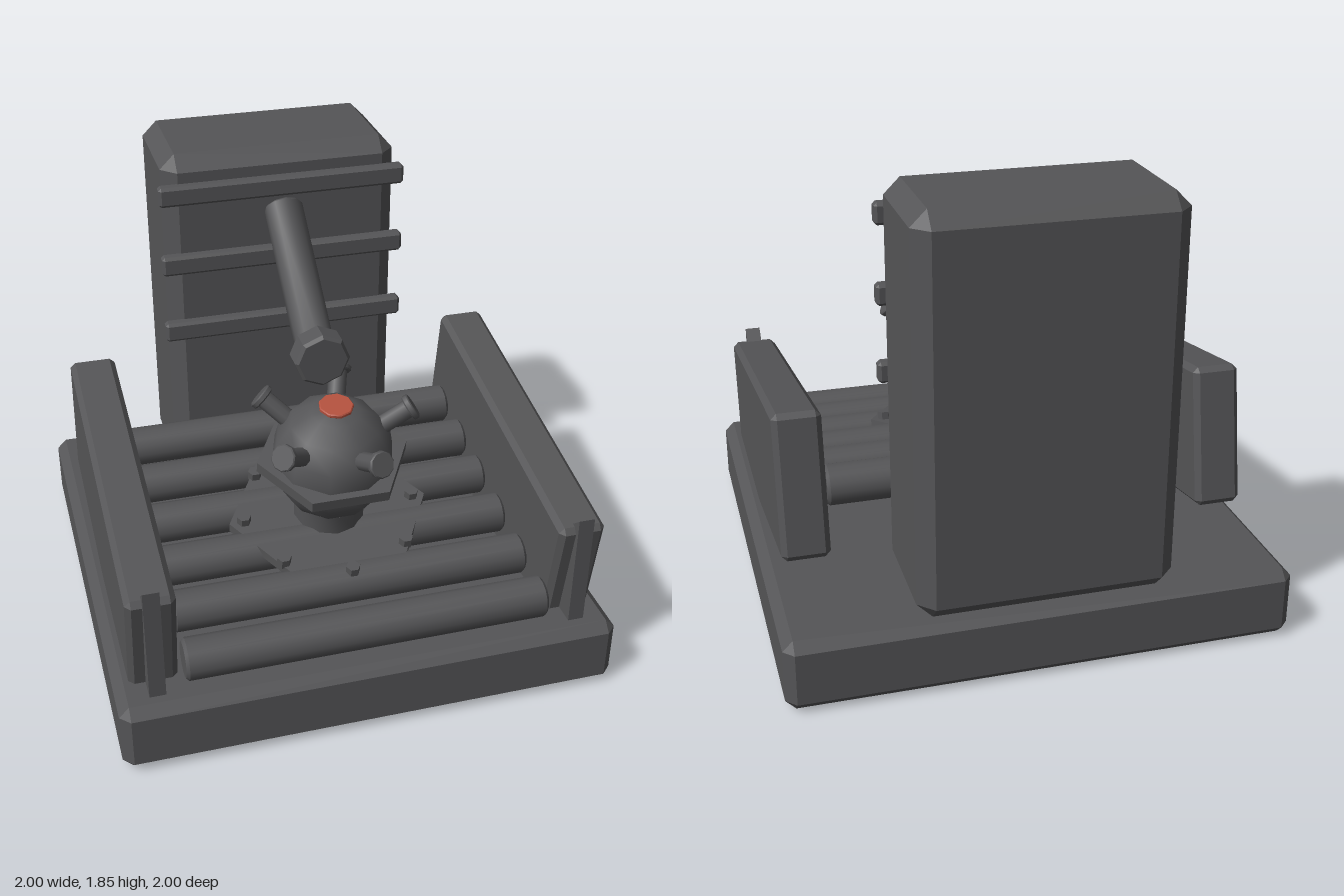
import * as THREE from 'three';
import { toCreasedNormals } from 'three/addons/utils/BufferGeometryUtils.js';
import { ConvexGeometry } from 'three/addons/geometries/ConvexGeometry.js';

const darkGrey = new THREE.MeshStandardMaterial({ color: 0x555557 });
const red = new THREE.MeshStandardMaterial({ color: 0xb5523f });

function add(parent, name, geometry, x = 0, y = 0, z = 0, material = darkGrey) {
  const mesh = new THREE.Mesh(geometry, material);
  mesh.name = name;
  mesh.position.set(x, y, z);
  parent.add(mesh);
  return mesh;
}

// Box with every edge cut at 45 degrees
function chamferBox(w, h, d, c) {
  const points = [];
  for (const sx of [-1, 1]) for (const sy of [-1, 1]) for (const sz of [-1, 1]) {
    for (let axis = 0; axis < 3; axis++) {
      const cut = [c, c, c];
      cut[axis] = 0;
      points.push(new THREE.Vector3(sx * (w / 2 - cut[0]), sy * (h / 2 - cut[1]), sz * (d / 2 - cut[2])));
    }
  }
  return new ConvexGeometry(points);
}

// Drum along y with chamfered rims
function drum(r, length, sides, c) {
  const l = length / 2;
  const profile = [[0, -l], [r - c, -l], [r, -l + c], [r, l - c], [r - c, l], [0, l]];
  const geometry = new THREE.LatheGeometry(profile.map(p => new THREE.Vector2(...p)), sides);
  return toCreasedNormals(geometry, sides > 8 ? 0.7 : 0.3);
}

export function createModel() {
  const model = new THREE.Group();
  model.name = 'rollerMachine';

  // Base slab and rear column with three ribs
  add(model, 'base', chamferBox(2, 0.29, 2, 0.04), 0, 0.145, 0);
  add(model, 'rearColumn', chamferBox(1, 1.56, 0.54, 0.062), 0, 1.07, -0.73);
  for (const y of [1.08, 1.39, 1.7]) {
    add(model, 'columnRib', chamferBox(1.05, 0.085, 0.055, 0.012), 0, y, -0.448);
  }

  // Tilted side walls, each with a wedge post at the front
  const postShape = new THREE.Shape([[0.925, 0.28], [0.925, 0.773], [0.87, 0.725], [0.78, 0.28]]
    .map(p => new THREE.Vector2(-p[0], p[1])));
  for (const side of [-1, 1]) {
    const wall = add(model, 'sideWall', chamferBox(0.19, 0.58, 1.435, 0.022), side * 0.845, 0.56, 0.155);
    wall.rotation.x = THREE.MathUtils.degToRad(10);
    const post = new THREE.ExtrudeGeometry(postShape, { depth: 0.064, bevelEnabled: false });
    post.translate(0, 0, -0.032);
    post.rotateY(Math.PI / 2);
    add(model, 'wallPost', post, side * 0.845, 0, 0);
  }

  // Sloping row of rollers
  const roller = drum(0.083, 1.46, 14, 0.012);
  roller.rotateZ(Math.PI / 2);
  for (let i = 0; i < 6; i++) {
    add(model, 'roller', roller, 0, 0.37 + 0.0423 * i, 0.84 - 0.239 * i);
  }

  // Turret, tilted forward to stand square on the rollers
  const turret = new THREE.Group();
  turret.name = 'turret';
  turret.position.set(0, 0.545, 0.275);
  turret.rotation.x = THREE.MathUtils.degToRad(10);
  model.add(turret);

  const hexagon = (r, h) => new THREE.CylinderGeometry(r, r, h, 6, 1).rotateY(Math.PI / 6).toNonIndexed();
  const flat = geometry => { geometry.computeVertexNormals(); return geometry; };
  add(turret, 'mountPlate', flat(hexagon(0.42, 0.04)), 0, -0.02, 0);
  const bolt = flat(hexagon(0.029, 0.04));
  for (let i = 0; i < 8; i++) {
    const a = i * Math.PI / 4;
    add(turret, 'bolt', bolt, 0.36 * Math.cos(a), 0.012, 0.36 * Math.sin(a));
  }
  add(turret, 'neck', drum(0.147, 0.12, 12, 0.008), 0, 0.04, 0);
  add(turret, 'dome', new THREE.SphereGeometry(0.255, 10, 8), 0, 0.3, 0);
  add(turret, 'collar', flat(hexagon(0.312, 0.045)), 0, 0.298, 0);
  add(turret, 'redCap', drum(0.07, 0.018, 9, 0.004), 0, 0.562, 0, red);

  // Five flared nozzles spaced evenly around the dome
  const stem = new THREE.CylinderGeometry(0.038, 0.038, 0.18, 10);
  const head = drum(0.054, 0.026, 10, 0.005);
  for (let i = 0; i < 5; i++) {
    const a = i * Math.PI * 2 / 5;
    const nozzle = new THREE.Group();
    nozzle.name = 'nozzle';
    nozzle.position.y = 0.3;
    const direction = new THREE.Vector3(0.31 * Math.cos(a), 0.2, 0.31 * Math.sin(a)).normalize();
    nozzle.quaternion.setFromUnitVectors(new THREE.Vector3(0, 1, 0), direction);
    add(nozzle, 'nozzleStem', stem, 0, 0.28, 0);
    add(nozzle, 'nozzleHead', head, 0, 0.372, 0);
    turret.add(nozzle);
  }

  // Arm from the column down to an eight-sided joint
  const low = new THREE.Vector3(0, 1.21, 0.045);
  const high = new THREE.Vector3(0, 1.608, -0.44);
  const span = high.clone().sub(low);
  const arm = add(model, 'arm', drum(0.081, span.length(), 10, 0.008));
  arm.position.copy(low).add(high).multiplyScalar(0.5);
  arm.quaternion.setFromUnitVectors(new THREE.Vector3(0, 1, 0), span.normalize());
  const joint = drum(0.114, 0.11, 8, 0.013);
  joint.rotateX(Math.PI / 2);
  add(model, 'armJoint', joint, 0, 1.197, 0.135);

  return model;
}
